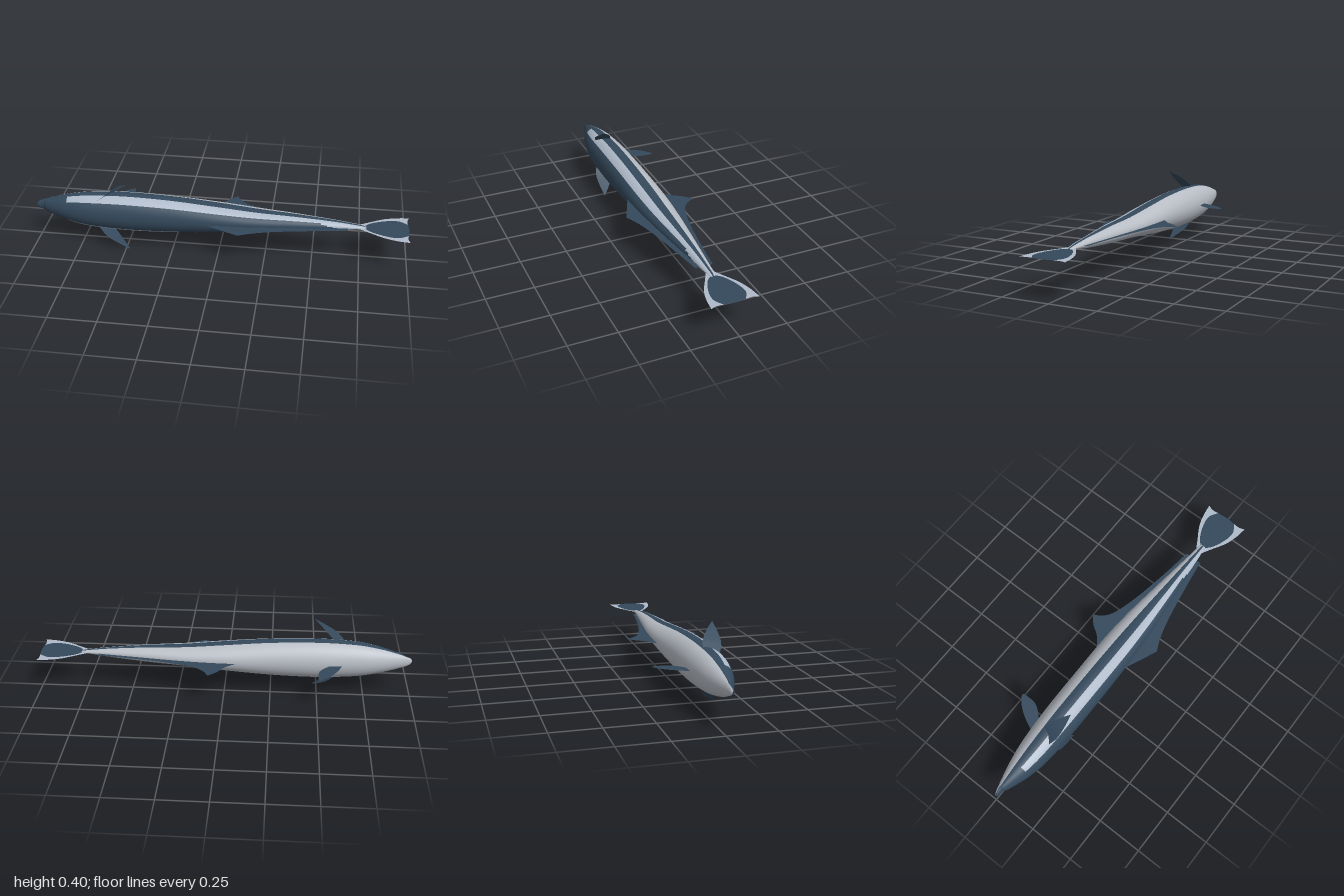
import * as THREE from 'three';

const dark = new THREE.MeshStandardMaterial({ color: 0x34495c, side: THREE.DoubleSide });
dark.name = 'slate blue';
const light = new THREE.MeshStandardMaterial({ color: 0xafbac9, side: THREE.DoubleSide });
light.name = 'pale blue stripe';
const pale = new THREE.MeshStandardMaterial({ color: 0xb9bec6, side: THREE.DoubleSide });
pale.name = 'pale grey belly';

const MID = 0.2; // height of the symmetry plane

// Cross-sections: x, half width in y, belly z, back z
const SECTIONS = [
  [-1, 0.002, 0.026, 0.034], [-0.99, 0.018, 0.018, 0.037], [-0.96, 0.032, 0.008, 0.041],
  [-0.945, 0.038, 0.004, 0.052], [-0.9, 0.053, -0.008, 0.07], [-0.82, 0.075, -0.027, 0.097],
  [-0.7, 0.096, -0.046, 0.12], [-0.5, 0.106, -0.059, 0.129], [-0.25, 0.098, -0.063, 0.129],
  [0, 0.076, -0.064, 0.124], [0.2, 0.056, -0.053, 0.11], [0.4, 0.044, -0.031, 0.089],
  [0.6, 0.027, -0.007, 0.064], [0.7, 0.015, 0.005, 0.053], [0.75, 0.008, 0.01, 0.047],
  [0.775, 0.002, 0.016, 0.042],
];

// Body lofted through the sections; bands run lengthwise by angle from the back
function makeBody() {
  const rows = 90, sides = 48;
  const widths = new THREE.CatmullRomCurve3(SECTIONS.map(s => new THREE.Vector3(s[0], s[1], 0)), false, 'catmullrom');
  const depths = new THREE.CatmullRomCurve3(SECTIONS.map(s => new THREE.Vector3(s[0], s[2], s[3])), false, 'catmullrom');
  const pos = [], xs = [], bands = [[], [], []];
  for (let i = 0; i <= rows; i++) {
    const w = widths.getPoint(i / rows), d = depths.getPoint(i / rows);
    xs.push(w.x);
    for (let j = 0; j < sides; j++) {
      const a = j / sides * Math.PI * 2;
      pos.push(w.x, MID + w.y * Math.sin(a), (d.y + d.z) / 2 + (d.z - d.y) / 2 * Math.cos(a));
    }
  }
  for (let i = 0; i < rows; i++) for (let j = 0; j < sides; j++) {
    const deg = (j + 0.5) / sides * 360, a = deg > 180 ? 360 - deg : deg, x = xs[i];
    let band = a < 45 ? 0 : a < 75 ? 1 : a < 105 ? 0 : 2;
    if (x < -0.83 && band === 1) band = 0;                      // dark crown of the head
    if (a < 45 && a > 45 * (0.62 - x) / 0.12) band = 1;         // back tapers out at the tail
    const k = (j + 1) % sides;
    const p = i * sides + j, q = p + sides, r = (i + 1) * sides + k, s = i * sides + k;
    bands[band].push(p, q, r, p, r, s);
  }
  const g = new THREE.BufferGeometry();
  g.setAttribute('position', new THREE.Float32BufferAttribute(pos, 3));
  g.setIndex(bands.flat());
  let start = 0;
  bands.forEach((b, m) => { g.addGroup(start, b.length, m); start += b.length; });
  g.computeVertexNormals();
  const body = new THREE.Mesh(g, [dark, light, pale]);
  body.name = 'body';
  return body;
}

// Flat fin in the symmetry plane; each edge is a spline of [x, z] points
function flatFin(name, edges, material) {
  const shape = new THREE.Shape();
  shape.moveTo(...edges[0][0]);
  for (const e of edges) shape.splineThru(e.slice(1).map(p => new THREE.Vector2(...p)));
  const g = new THREE.ShapeGeometry(shape, 8);
  g.rotateX(Math.PI / 2);
  g.translate(0, MID, 0);
  const fin = new THREE.Mesh(g, material);
  fin.name = name;
  return fin;
}

// Swept side fin: a strip between a leading and a trailing edge
function sideFin(name, side) {
  const edge = pts => new THREE.CatmullRomCurve3(pts.map(([x, y, z]) => new THREE.Vector3(x, MID + side * y, z)));
  const lead = edge([[-0.65, 0.075, 0.085], [-0.6, 0.122, 0.108], [-0.54, 0.16, 0.11], [-0.475, 0.2, 0.103]]);
  const trail = edge([[-0.6, 0.095, 0.018], [-0.565, 0.13, 0.028], [-0.525, 0.165, 0.057], [-0.475, 0.2, 0.103]]);
  const n = 12, pos = [], index = [];
  for (let i = 0; i <= n; i++) {
    pos.push(...lead.getPoint(i / n).toArray(), ...trail.getPoint(i / n).toArray());
    if (i < n) {
      const a = i * 2;
      const quad = [a, a + 2, a + 1, a + 1, a + 2, a + 3];
      index.push(...(side > 0 ? quad.reverse() : quad));
    }
  }
  const g = new THREE.BufferGeometry();
  g.setAttribute('position', new THREE.Float32BufferAttribute(pos, 3));
  g.setIndex(index);
  g.computeVertexNormals();
  const fin = new THREE.Mesh(g, dark);
  fin.name = name;
  return fin;
}

export function createModel() {
  const fish = new THREE.Group();
  fish.name = 'fish';
  fish.add(makeBody(), sideFin('upperPectoralFin', 1), sideFin('lowerPectoralFin', -1));

  // Long fins on back and belly
  fish.add(flatFin('dorsalFin', [
    [[-0.07, 0.12], [0.03, 0.165], [0.117, 0.202]],
    [[0.117, 0.202], [0.2, 0.168], [0.32, 0.137], [0.5, 0.105], [0.68, 0.077]],
    [[0.68, 0.077], [0.68, 0.05]], [[0.68, 0.05], [0, 0.08]],
  ], dark));
  fish.add(flatFin('analFin', [
    [[-0.07, -0.06], [-0.01, -0.105], [0.03, -0.16], [0.075, -0.2]],
    [[0.075, -0.2], [0.1, -0.155], [0.16, -0.113], [0.3, -0.074], [0.5, -0.039], [0.68, -0.015]],
    [[0.68, -0.015], [0.68, 0.01]], [[0.68, 0.01], [0, -0.03]],
  ], dark));
  fish.add(flatFin('pelvicFin', [
    [[-0.63, -0.045], [-0.6, -0.11], [-0.56, -0.17], [-0.512, -0.21]],
    [[-0.512, -0.21], [-0.5, -0.2], [-0.503, -0.13], [-0.53, -0.085], [-0.57, -0.05]],
  ], dark));

  // Tail fin: dark fan with a pale margin on either side
  const mz = (pts, s) => pts.map(([x, z]) => [x, 0.03 + s * z]);
  const inner = [[0.765, 0.008], [0.8, 0.042], [0.87, 0.073], [0.94, 0.083], [0.992, 0.055]];
  const outer = [[0.72, 0.012], [0.78, 0.045], [0.86, 0.09], [0.93, 0.112], [1, 0.122]];
  fish.add(flatFin('tailFan', [
    mz(inner, 1), [...mz([[0.992, 0.055], [0.997, 0]], 1), [0.992, -0.025]], mz(inner, -1).reverse(),
  ], dark));
  for (const s of [1, -1]) {
    fish.add(flatFin(s > 0 ? 'tailMarginBack' : 'tailMarginBelly', [
      mz(outer, s), mz([[1, 0.122], [0.99, 0.09], [0.992, 0.055]], s),
      mz(inner, s).reverse(), mz([[0.765, 0.008], [0.765, 0]], s), mz([[0.765, 0], [0.72, 0]], s),
    ], light));
  }
  return fish;
}
